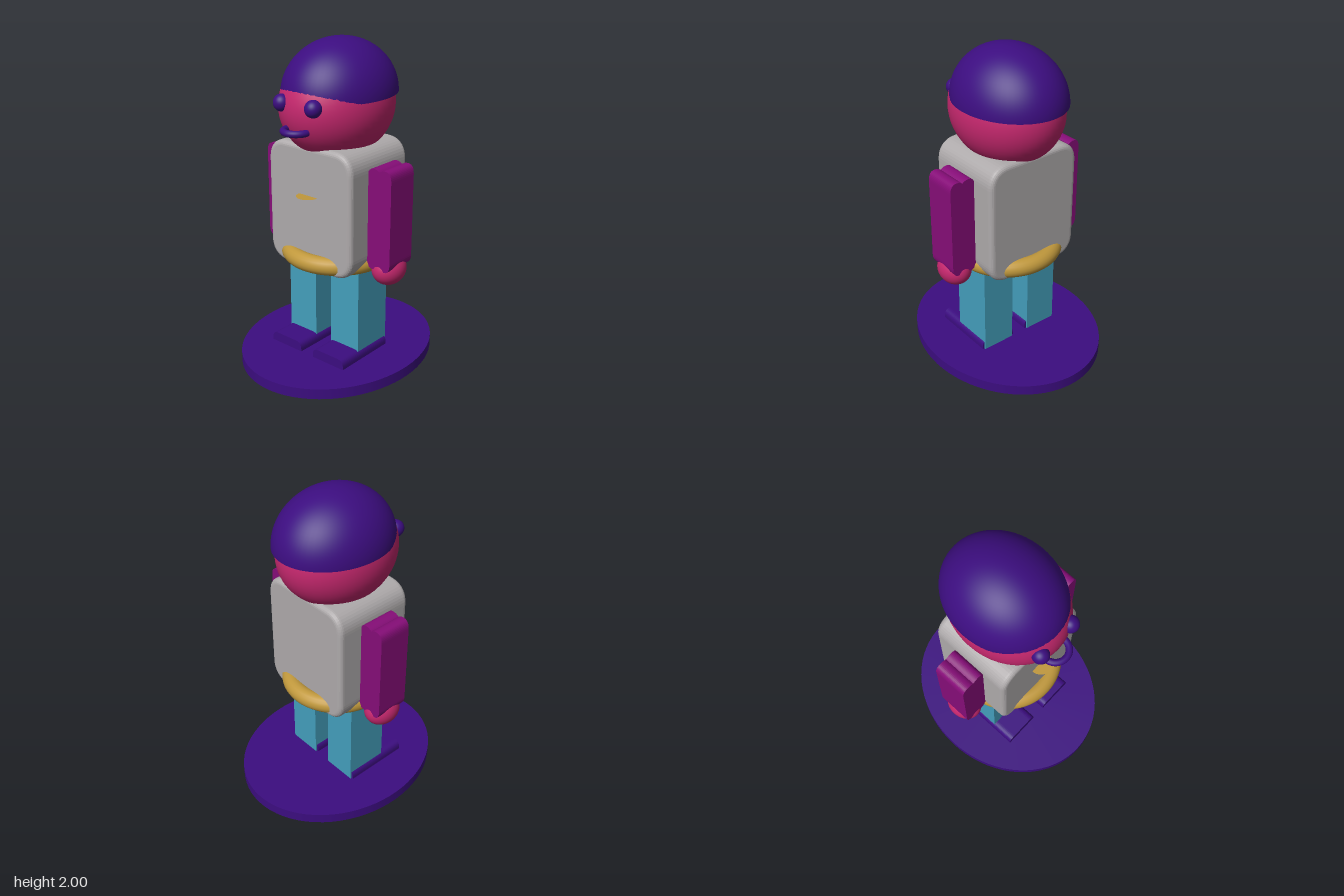
import * as THREE from 'three';

const mat = (name, color) => {
  const m = new THREE.MeshStandardMaterial({ color });
  m.name = name;
  return m;
};

export function createModel() {
  const group = new THREE.Group();
  const purple = mat('deep purple', 0x3c0d80);
  const pink = mat('rose pink', 0xc4276d);
  const grey = mat('warm grey', 0xaeaaab);
  const teal = mat('teal blue', 0x449fbc);
  const gold = mat('gold', 0xc0983c);
  const magenta = mat('magenta', 0x860d78);

  const add = (name, geometry, material, x = 0, y = 0, z = 0) => {
    const mesh = new THREE.Mesh(geometry, material);
    mesh.name = name;
    mesh.position.set(x, y, z);
    group.add(mesh);
    return mesh;
  };
  const ellipsoid = (rx, ry, rz) => new THREE.SphereGeometry(1, 48, 32).scale(rx, ry, rz);

  // Rounded rectangle around the origin
  const roundedRect = (w, h, r) => {
    const s = new THREE.Shape(), x = w / 2, y = h / 2;
    s.moveTo(-x + r, -y);
    s.lineTo(x - r, -y).quadraticCurveTo(x, -y, x, -y + r);
    s.lineTo(x, y - r).quadraticCurveTo(x, y, x - r, y);
    s.lineTo(-x + r, y).quadraticCurveTo(-x, y, -x, y - r);
    s.lineTo(-x, -y + r).quadraticCurveTo(-x, -y, -x + r, -y);
    return s;
  };
  // Limb outline whose rounded ends have a shallow notch in the middle
  const limbShape = (w, h, r, notch) => {
    const s = new THREE.Shape(), x = w / 2, y = h / 2;
    s.moveTo(x, -y + r);
    s.lineTo(x, y - r).quadraticCurveTo(x, y, x * 0.5, y);
    s.quadraticCurveTo(x * 0.2, y, 0, y - notch);
    s.quadraticCurveTo(-x * 0.2, y, -x * 0.5, y).quadraticCurveTo(-x, y, -x, y - r);
    s.lineTo(-x, -y + r).quadraticCurveTo(-x, -y, -x * 0.5, -y);
    s.quadraticCurveTo(-x * 0.2, -y, 0, -y + notch);
    s.quadraticCurveTo(x * 0.2, -y, x * 0.5, -y).quadraticCurveTo(x, -y, x, -y + r);
    return s;
  };
  const extrude = (shape, depth) =>
    new THREE.ExtrudeGeometry(shape, { depth, bevelEnabled: false, curveSegments: 10 })
      .translate(0, 0, -depth / 2);

  // Oval stand
  add('stand', new THREE.CylinderGeometry(1, 1, 0.065, 72).scale(0.55, 1, 0.655), purple, 0, 0.0625, 0);

  // Torso with softened front and back edges
  const bevel = 0.03, depth = 0.52 - 2 * bevel;
  const torso = new THREE.ExtrudeGeometry(roundedRect(0.63 - 2 * bevel, 0.76 - 2 * bevel, 0.1), {
    depth, bevelThickness: bevel, bevelSize: bevel, bevelSegments: 5, curveSegments: 12,
  }).translate(0, 0, -depth / 2);
  add('torso', torso, grey, 0, 1.035, 0);

  // Belt ring and the thin badge disc
  add('belt', new THREE.TorusGeometry(0.287, 0.055, 20, 72).rotateX(Math.PI / 2), gold, 0, 0.715, 0);
  add('chestBadge', new THREE.CircleGeometry(0.07, 32).rotateX(-Math.PI / 2), gold, 0, 1.12, 0.262);

  // Head and cap
  add('head', ellipsoid(0.312, 0.32, 0.373), pink, 0, 1.62, 0);
  const dome = new THREE.SphereGeometry(1, 64, 24, 0, Math.PI * 2, 0, Math.PI / 2);
  add('cap', dome.scale(0.314, 0.32, 0.374), purple, 0, 1.68, -0.022);
  add('capUnderside', new THREE.CircleGeometry(1, 64).rotateX(Math.PI / 2).scale(0.314, 1, 0.374),
    purple, 0, 1.68, -0.022);

  // Smile: half ring bulging forwards, with closed ends
  add('mouth', new THREE.TorusGeometry(0.075, 0.02, 14, 32, Math.PI).rotateX(Math.PI / 2),
    purple, 0, 1.525, 0.347);

  // Mirrored parts
  for (const [side, label] of [[1, 'left'], [-1, 'right']]) {
    add(label + 'MouthEnd', new THREE.CircleGeometry(0.02, 14).rotateX(Math.PI),
      purple, side * 0.075, 1.525, 0.347);
    add(label + 'Eye', ellipsoid(0.049, 0.05, 0.05), purple, side * 0.117, 1.665, 0.34);
    add(label + 'Arm', extrude(limbShape(0.165, 0.61, 0.06, 0.015), 0.21), magenta, side * 0.393, 1.015, 0);
    add(label + 'Hand', ellipsoid(0.096, 0.1, 0.115), pink, side * 0.395, 0.695, 0);
    add(label + 'Leg', extrude(limbShape(0.214, 0.72, 0.04, 0.015), 0.27), teal, side * 0.168, 0.36, 0);
    add(label + 'Shoe', extrude(roundedRect(0.24, 0.11, 0.045), 0.415), purple, side * 0.168, 0.1, 0.0825);
  }
  return group;
}
